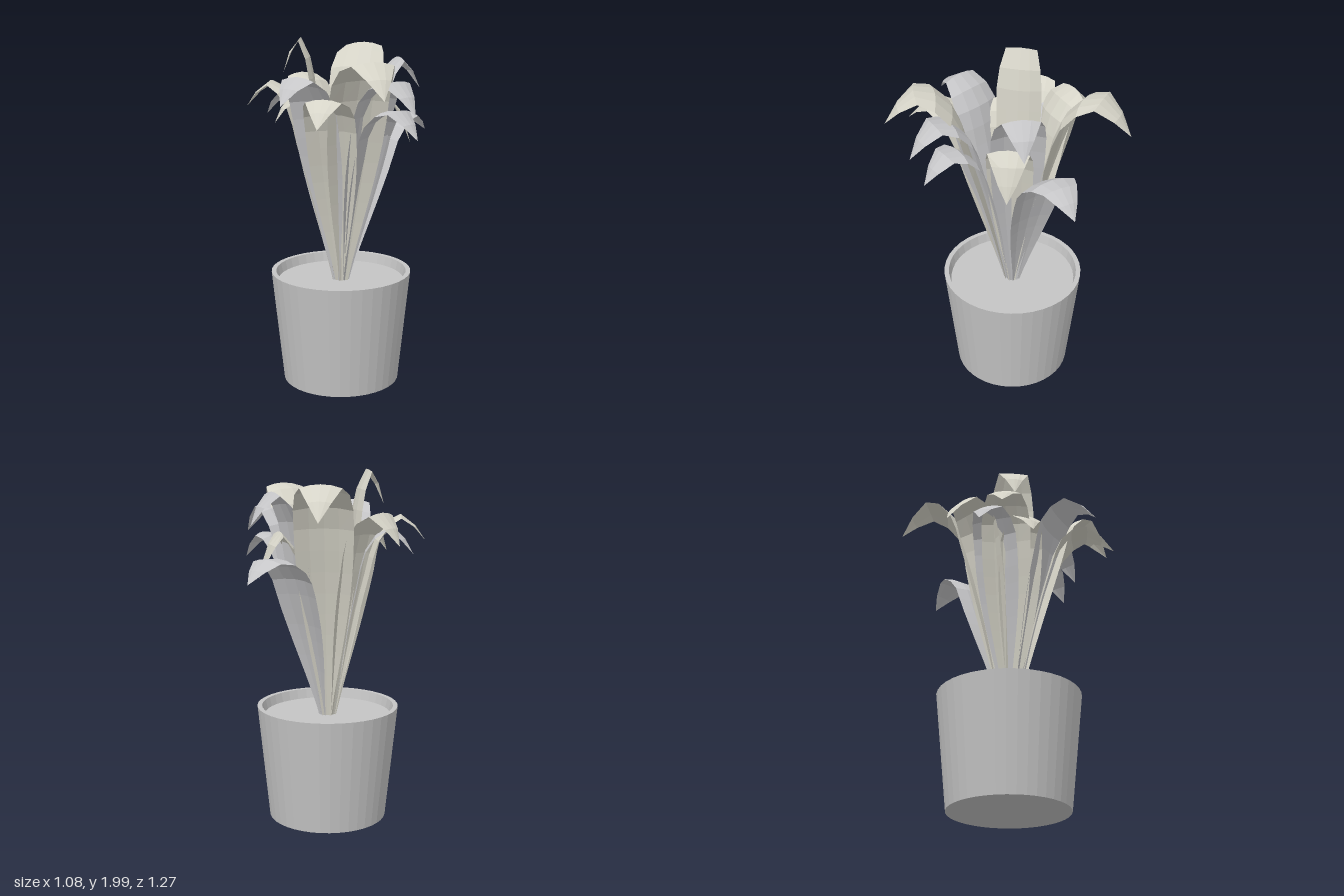
import * as THREE from 'three';

const mat = (name, color, side = THREE.FrontSide) => {
  const m = new THREE.MeshStandardMaterial({ color, side, flatShading: true });
  m.name = name;
  return m;
};

const CX = -0.025, CZ = -0.035; // plant axis

// Arching leaf: tip position, peak height and widest width
function leafGeometry(tx, ty, tz, peak, width) {
  const dx = tx - CX, dz = tz - CZ;
  const R = Math.hypot(dx, dz), ux = dx / R, uz = dz / R;
  const y0 = 0.6, h = peak - y0;
  const spine = new THREE.CatmullRomCurve3([
    [0.04, y0],
    [0.045 + 0.12 * R, y0 + 0.36 * h],
    [0.035 + 0.28 * R, y0 + 0.68 * h],
    [0.02 + 0.45 * R, y0 + 0.91 * h],
    [0.72 * R, peak],
    [0.88 * R, peak - (peak - ty) * 0.38],
    [R, ty],
  ].map(([r, y]) => new THREE.Vector3(r, y, 0)));

  const rows = 14, cols = 4, pos = [], idx = [];
  for (let i = 0; i <= rows; i++) {
    const t = i / rows;
    const p = spine.getPointAt(t), tan = spine.getTangentAt(t);
    // narrow stem, broad shoulder, pointed tip
    const grow = 0.16 + 0.84 * Math.sin(Math.min(t / 0.64, 1) * Math.PI / 2) ** 1.2;
    const taper = t > 0.7 ? 1 - ((t - 0.7) / 0.3) ** 1.8 : 1;
    const w = width * grow * taper;
    for (let j = 0; j <= cols; j++) {
      const s = j / cols * 2 - 1;
      const droop = -0.1 * w * s * s;
      const r = p.x - tan.y * droop, y = p.y + tan.x * droop;
      const side = s * w / 2;
      pos.push(CX + ux * r - uz * side, y, CZ + uz * r + ux * side);
    }
  }
  for (let i = 0; i < rows; i++) {
    for (let j = 0; j < cols; j++) {
      const a = i * (cols + 1) + j, b = a + cols + 1;
      idx.push(a, a + 1, b, a + 1, b + 1, b);
    }
  }
  const g = new THREE.BufferGeometry();
  g.setAttribute('position', new THREE.Float32BufferAttribute(pos, 3));
  g.setIndex(idx);
  g.computeVertexNormals();
  return g;
}

export function createModel() {
  const group = new THREE.Group();
  const potMat = mat('potGrey', 0xc4c4c4);
  const warm = mat('warmLeaf', 0xd6d4c8, THREE.DoubleSide);
  const cool = mat('coolLeaf', 0xc6c6c8, THREE.DoubleSide);

  // Tapered pot with a recessed fill
  const profile = [[0, 0], [0.338, 0], [0.405, 0.655], [0.378, 0.655], [0.365, 0.6], [0, 0.6]];
  const pot = new THREE.Mesh(
    new THREE.LatheGeometry(profile.map(([x, y]) => new THREE.Vector2(x, y)), 40), potMat);
  pot.name = 'pot';
  pot.position.set(CX, 0, CZ);
  group.add(pot);

  // Leaves: tip x, y, z, peak height, width, material
  const leaves = new THREE.Group();
  leaves.name = 'leaves';
  [
    [0.25, 1.75, -0.64, 1.94, 0.32, warm],
    [0.535, 1.42, -0.36, 1.55, 0.29, cool],
    [0.44, 1.7, -0.1, 1.88, 0.29, cool],
    [0.37, 1.4, -0.01, 1.66, 0.25, warm],
    [0.32, 1.48, 0.42, 1.64, 0.26, cool],
    [0.29, 1.62, 0.49, 1.8, 0.28, cool],
    [0.1, 1.72, 0.635, 1.91, 0.34, warm],
    [-0.23, 1.57, 0.55, 1.71, 0.28, warm],
    [-0.4, 1.67, 0.38, 1.81, 0.3, cool],
    [-0.4, 1.53, 0.0, 1.68, 0.26, warm],
    [-0.34, 1.8, -0.09, 2.0, 0.25, warm],
    [-0.54, 1.6, -0.22, 1.75, 0.28, warm],
    [-0.42, 1.54, -0.32, 1.69, 0.26, cool],
    [-0.27, 1.6, -0.47, 1.78, 0.3, warm],
  ].forEach(([x, y, z, peak, w, m], i) => {
    const leaf = new THREE.Mesh(leafGeometry(x, y, z, peak, w), m);
    leaf.name = 'leaf' + (i + 1);
    leaves.add(leaf);
  });
  group.add(leaves);
  return group;
}
